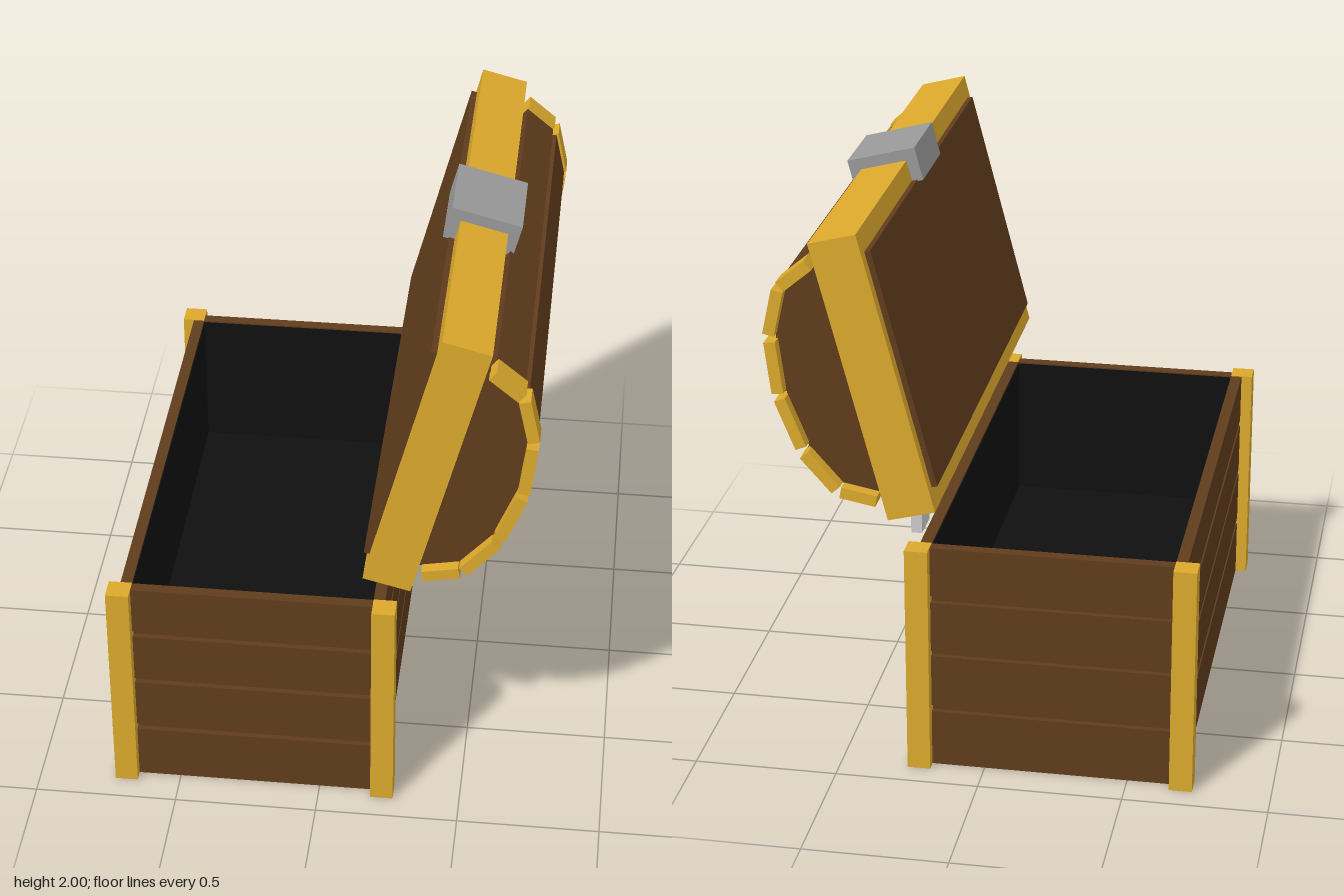
import * as THREE from 'three';

const mat = (color) => new THREE.MeshStandardMaterial({ color, flatShading: true });
const wood = mat(0x603c1c), gold = mat(0xdba82c), black = mat(0x101010);
const steel = mat(0xcccccc), iron = mat(0x999999);

function add(parent, name, geometry, material) {
  const mesh = new THREE.Mesh(geometry, material);
  mesh.name = name;
  parent.add(mesh);
  return mesh;
}

// Box given by its lower and upper limits
function box(parent, name, material, x0, x1, y0, y1, z0, z1) {
  const m = add(parent, name, new THREE.BoxGeometry(x1 - x0, y1 - y0, z1 - z0), material);
  m.position.set((x0 + x1) / 2, (y0 + y1) / 2, (z0 + z1) / 2);
  return m;
}

const rect = (path, a, b) =>
  path.moveTo(-a, -b).lineTo(a, -b).lineTo(a, b).lineTo(-a, b).closePath();

// Upright rectangular ring of walls
function ring(parent, name, material, a, b, thick, y0, y1) {
  const shape = rect(new THREE.Shape(), a, b);
  shape.holes.push(rect(new THREE.Path(), a - thick, b - thick));
  const g = new THREE.ExtrudeGeometry(shape, { depth: y1 - y0, bevelEnabled: false });
  g.rotateX(-Math.PI / 2).translate(0, y0, 0);
  return add(parent, name, g, material);
}

function buildBase() {
  const base = new THREE.Group();
  base.name = 'base';
  base.position.x = -0.2325;

  // Plank courses with grooves between them
  for (const [y0, y1] of [[0, 0.205], [0.23, 0.42], [0.44, 0.625], [0.65, 0.83]])
    ring(base, 'wallPlanks', wood, 0.4575, 0.87, 0.04, y0, y1);
  ring(base, 'wallCore', wood, 0.4375, 0.85, 0.02, 0.01, 0.82);

  // Dark interior and underside
  ring(base, 'lining', black, 0.419, 0.832, 0.005, 0.02, 0.825);
  box(base, 'innerFloor', black, -0.417, 0.417, 0.28, 0.3, -0.83, 0.83);
  box(base, 'underside', wood, -0.43, 0.43, 0.002, 0.02, -0.84, 0.84);

  // Corner posts
  for (const sx of [-1, 1]) for (const sz of [-1, 1]) {
    const post = add(base, 'cornerPost', new THREE.BoxGeometry(0.08, 0.832, 0.08), gold);
    post.position.set(sx * 0.4575, 0.416, sz * 0.87);
  }
  return base;
}

// Lid in its own frame: x is its thickness, y its width
function buildLid() {
  const lid = new THREE.Group();
  lid.name = 'lid';
  lid.position.set(0.155, 0.985, 0);
  lid.rotation.z = -0.253;

  box(lid, 'lidFrame', gold, 0, 0.167, 0, 1, -0.912, 0.912);
  box(lid, 'lidPanel', wood, -0.02, 0.02, 0.075, 0.925, -0.87, 0.87);

  // Domed core
  const half = [[0.15, 0.08], [0.19, 0.09], [0.305, 0.15], [0.375, 0.3], [0.395, 0.42]];
  const outline = [...half, ...half.map(([u, s]) => [u, 1 - s]).reverse()];
  const shape = new THREE.Shape(outline.map(([u, s]) => new THREE.Vector2(u, s)));
  const dome = new THREE.ExtrudeGeometry(shape, { depth: 1.74, bevelEnabled: false });
  add(lid, 'domeCore', dome.translate(0, 0, -0.87), wood);

  // Dome planks with end caps: centre, length, tilt
  const planks = [[0.245, 0.1, 0.125, 1.13], [0.35, 0.21, 0.16, 0.47], [0.402, 0.398, 0.183, 0.13]];
  for (const [u, s, length, tilt] of planks) for (const side of [-1, 1]) {
    const plank = new THREE.Group();
    plank.name = 'domePlank';
    plank.position.set(u, 0.5 + side * (0.5 - s), 0);
    plank.rotation.z = side * tilt;
    box(plank, 'plankBoard', wood, -0.02, 0.012, -length / 2, length / 2, -0.83, 0.83);
    for (const e of [-1, 1]) {
      const cap = add(plank, 'plankCap', new THREE.BoxGeometry(0.04, length, 0.08), gold);
      cap.position.z = e * 0.872;
    }
    lid.add(plank);
  }

  // Lock block over the opening edge
  box(lid, 'lock', iron, -0.04, 0.207, 0.92, 1.04, -0.132, 0.165);
  return lid;
}

export function createModel() {
  const chest = new THREE.Group();
  chest.name = 'chest';
  chest.add(buildBase(), buildLid());
  for (const z of [0.543, -0.54])
    box(chest, 'hinge', steel, 0.267, 0.306, 0.755, 0.92, z - 0.062, z + 0.062);
  return chest;
}
